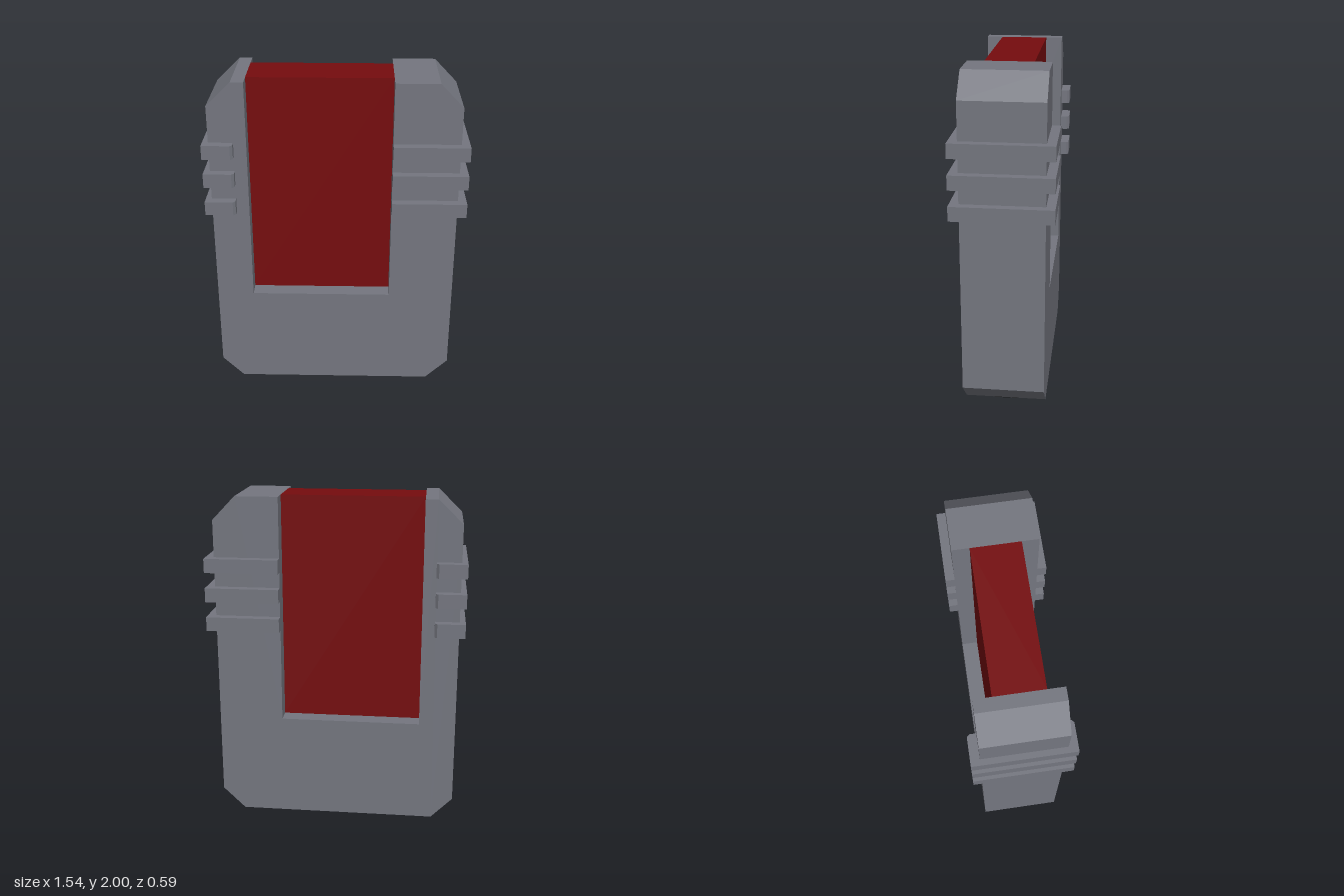
import * as THREE from 'three';

const grey = new THREE.MeshStandardMaterial({ color: 0x74767f });
grey.name = 'slate grey';
const red = new THREE.MeshStandardMaterial({ color: 0x750c0e });
red.name = 'dark red';
const black = new THREE.MeshStandardMaterial({ color: 0x161616 });
black.name = 'black';

const shapeOf = (pts) => new THREE.Shape(pts.map(([a, b]) => new THREE.Vector2(a, b)));

// Box given by its lower and upper limits on each axis
function box(name, [x0, x1], [y0, y1], [z0, z1], material) {
  const mesh = new THREE.Mesh(new THREE.BoxGeometry(x1 - x0, y1 - y0, z1 - z0), material);
  mesh.position.set((x0 + x1) / 2, (y0 + y1) / 2, (z0 + z1) / 2);
  mesh.name = name;
  return mesh;
}

export function createModel() {
  const group = new THREE.Group();
  group.name = 'clampBlock';

  // U-shaped body with clipped corners
  const outline = shapeOf([
    [-0.605, 0.003], [0.585, 0.003], [0.72, 0.135], [0.72, 1.86], [0.585, 2],
    [0.33, 2], [0.33, 0.63], [-0.515, 0.63], [-0.515, 2],
    [-0.59, 2], [-0.735, 1.86], [-0.735, 0.135],
  ]);
  const body = new THREE.Mesh(
    new THREE.ExtrudeGeometry(outline, { depth: 0.48, bevelEnabled: false }), grey);
  body.position.z = -0.24;
  body.name = 'body';
  group.add(body);

  // Recessed panel filling the slot, and the strip under the base
  group.add(box('slotPanel', [-0.515, 0.33], [0.63, 2], [-0.14, 0.143], red));
  group.add(box('bottomStrip', [-0.605, 0.585], [0, 0.006], [-0.07, 0.07], black));

  // Grip ribs: wide on the thick post, short with clipped inner corners on the thin one
  const shortRib = shapeOf([
    [-0.77, -0.293], [-0.605, -0.293], [-0.59, -0.278],
    [-0.59, 0.278], [-0.605, 0.293], [-0.77, 0.293],
  ]);
  const shortRibGeometry = new THREE.ExtrudeGeometry(shortRib, { depth: 0.085, bevelEnabled: false });
  shortRibGeometry.rotateX(-Math.PI / 2);
  for (const y of [1.2, 1.378, 1.555]) {
    group.add(box('leftRib', [0.33, 0.77], [y, y + 0.085], [-0.293, 0.293], grey));
    const rib = new THREE.Mesh(shortRibGeometry, grey);
    rib.position.y = y;
    rib.name = 'rightRib';
    group.add(rib);
  }
  return group;
}
